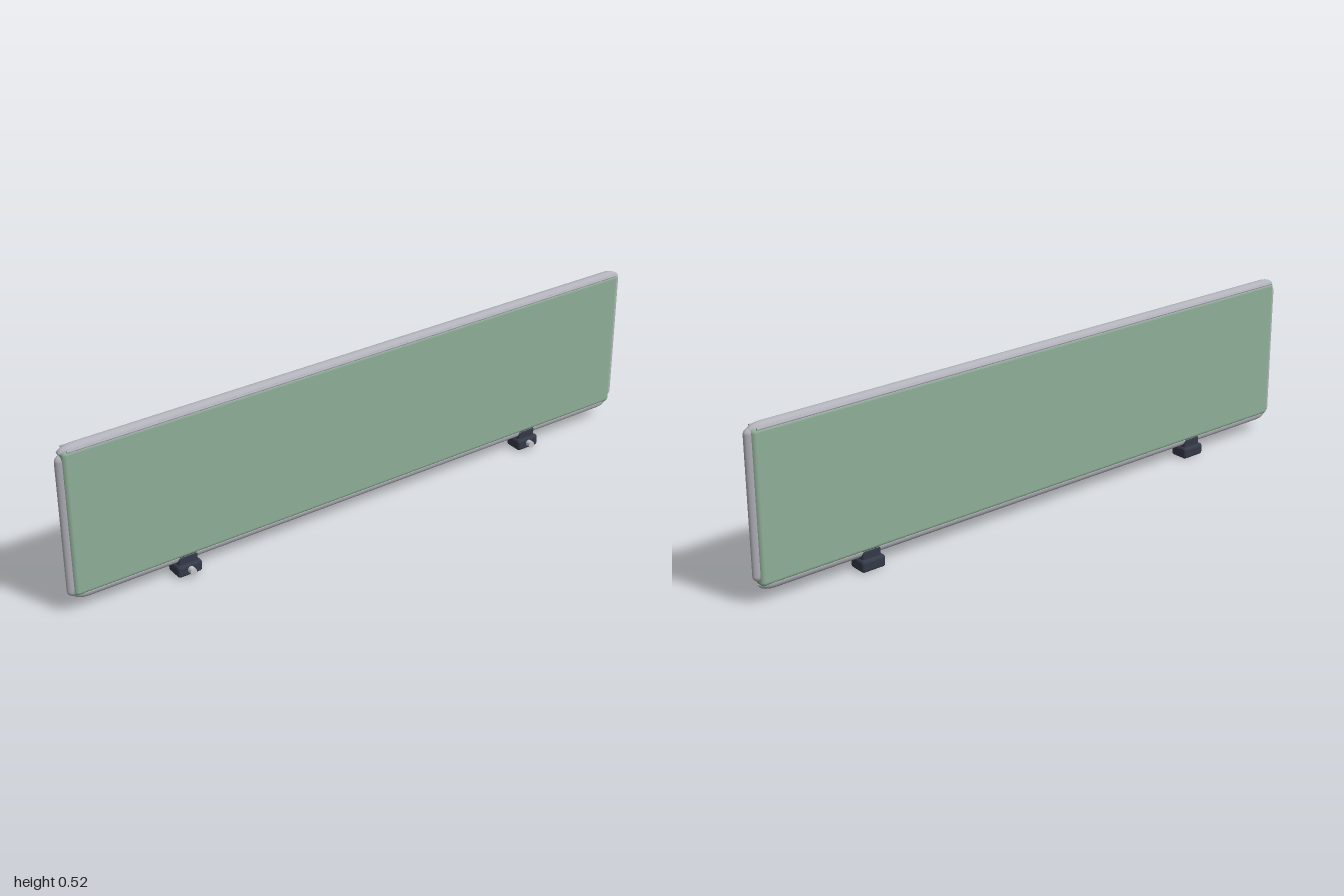
import * as THREE from 'three';
import { RoundedBoxGeometry } from 'three/addons/geometries/RoundedBoxGeometry.js';

const mat = (name, color) => {
  const m = new THREE.MeshStandardMaterial({ color });
  m.name = name;
  return m;
};

// Domed edge strip along x, its flat base at y = 0; both ends curve down and taper in.
function stripGeometry(length, width, height, taper = 0.045) {
  const stations = [];
  for (let i = 0; i <= 8; i++) {
    const a = (1 - i / 8) * Math.PI / 2;
    stations.push([-length / 2 + taper * (1 - Math.sin(a)), Math.cos(a), 1 - 0.65 * Math.sin(a) ** 2]);
  }
  for (let i = 8; i >= 0; i--) stations.push([-stations[i][0], stations[i][1], stations[i][2]]);
  const n = 14, pos = [], index = [];
  for (const [x, h, w] of stations) {
    for (let j = 0; j <= n; j++) {
      const a = Math.PI * j / n;
      pos.push(x, height * h * Math.sin(a), width / 2 * w * Math.cos(a));
    }
  }
  const row = n + 1;
  for (let i = 0; i < stations.length - 1; i++) {
    for (let j = 0; j < n; j++) {
      const a = i * row + j, b = a + row;
      index.push(a, b, a + 1, b, b + 1, a + 1);
    }
    // flat underside, with its own vertices for a crisp rim
    const k = pos.length / 3;
    for (const v of [i * row, (i + 1) * row, i * row + n, (i + 1) * row + n]) {
      pos.push(pos[v * 3], pos[v * 3 + 1], pos[v * 3 + 2]);
    }
    index.push(k, k + 2, k + 1, k + 1, k + 2, k + 3);
  }
  const g = new THREE.BufferGeometry();
  g.setAttribute('position', new THREE.Float32BufferAttribute(pos, 3));
  g.setIndex(index);
  g.computeVertexNormals();
  return g;
}

export function createModel() {
  const fabric = mat('green fabric', 0x8fb098);
  const metal = mat('grey metal', 0xb2b2bb);
  const dark = mat('dark plastic', 0x343a48);
  const steel = mat('pale steel', 0xc4c6c8);
  const group = new THREE.Group();
  const Z = -0.0075;

  const add = (name, geometry, material, x, y, z, parent = group) => {
    const m = new THREE.Mesh(geometry, material);
    m.name = name;
    m.position.set(x, y, z);
    parent.add(m);
    return m;
  };

  // Upholstered panel with softened edges
  add('panel', new RoundedBoxGeometry(1.97, 0.458, 0.039, 5, 0.014), fabric, 0, 0.285, Z);

  // Edge trims; the side strips are offset, one low and one high
  add('topTrim', stripGeometry(1.98, 0.038, 0.019), metal, 0, 0.506, Z);
  add('bottomTrim', stripGeometry(1.97, 0.038, 0.021), metal, 0, 0.061, Z).rotation.x = Math.PI;
  add('rightTrim', stripGeometry(0.445, 0.026, 0.022, 0.018), metal, -0.978, 0.277, Z).rotation.z = Math.PI / 2;
  add('leftTrim', stripGeometry(0.445, 0.026, 0.022, 0.018), metal, 0.978, 0.293, Z).rotation.z = -Math.PI / 2;

  // Slim beads below the top trim on both faces
  for (const s of [1, -1]) {
    add('topBead', new THREE.CylinderGeometry(0.0035, 0.0035, 1.94, 8), metal, 0, 0.512, Z + s * 0.019)
      .rotation.z = Math.PI / 2;
  }

  // Desk clamps with a screw knob at the front
  for (const s of [-1, 1]) {
    const clamp = new THREE.Group();
    clamp.name = s > 0 ? 'leftClamp' : 'rightClamp';
    clamp.position.set(s * 0.628, 0, Z);
    group.add(clamp);
    add('clampBase', new RoundedBoxGeometry(0.08, 0.037, 0.062, 4, 0.009), dark, 0, 0.0185, 0, clamp);
    add('clampJaw', new RoundedBoxGeometry(0.064, 0.034, 0.041, 4, 0.007), dark, 0, 0.046, 0, clamp);
    add('clampKnob', new THREE.CylinderGeometry(0.0105, 0.0105, 0.022, 20), steel, 0, 0.02, 0.0365, clamp)
      .rotation.x = Math.PI / 2;
  }
  return group;
}
